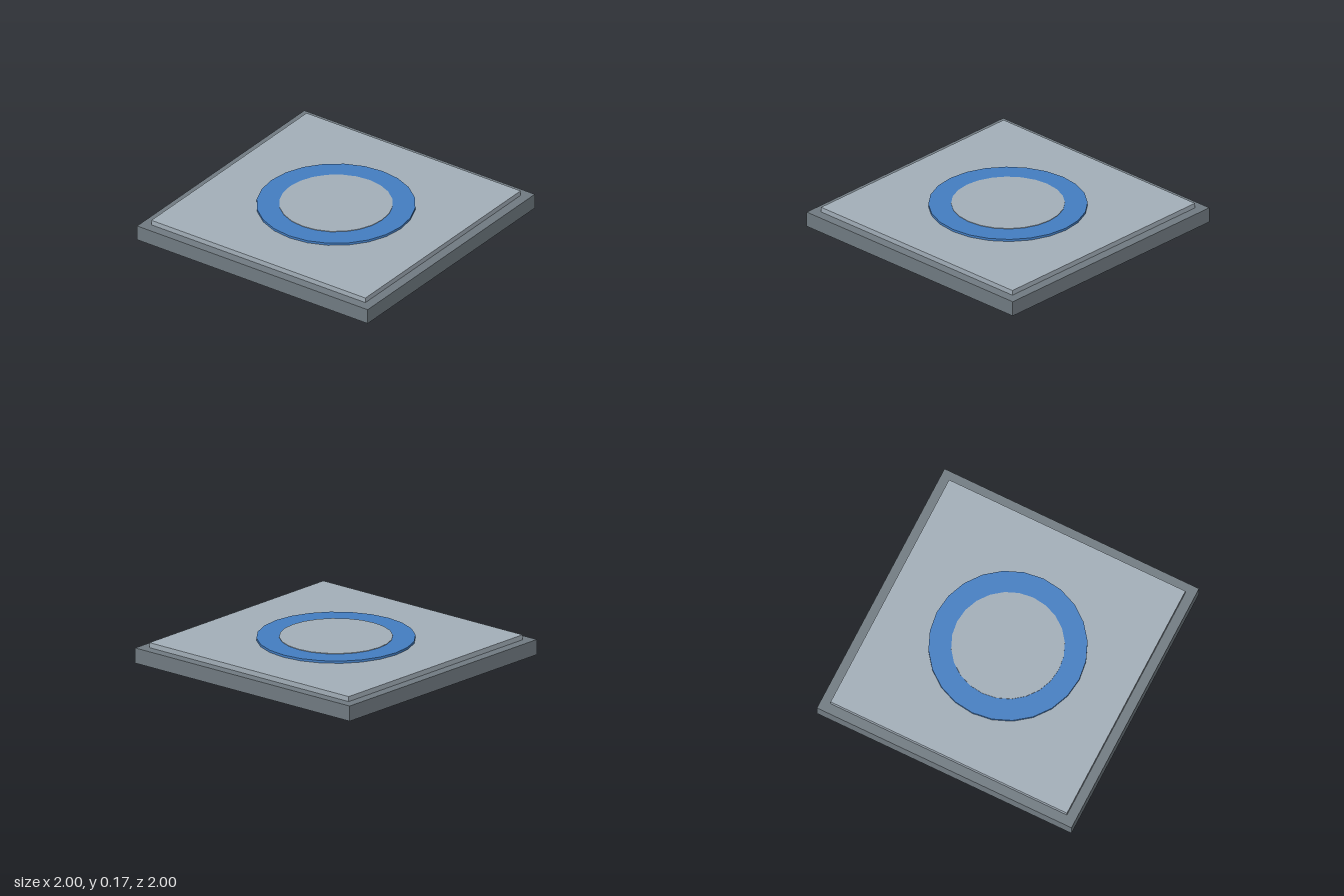
import * as THREE from 'three';

export function createModel() {
  const group = new THREE.Group();
  const darkGrey = new THREE.MeshStandardMaterial({ color: 0x717b82 });
  darkGrey.name = 'darkGrey';
  const lightGrey = new THREE.MeshStandardMaterial({ color: 0xa3afb9 });
  lightGrey.name = 'lightGrey';
  const blue = new THREE.MeshStandardMaterial({ color: 0x447ec2 });
  blue.name = 'blue';

  // Each layer sits on the one below it
  const addLayer = (name, geometry, material, bottom, top) => {
    const mesh = new THREE.Mesh(geometry, material);
    mesh.name = name;
    mesh.position.y = (bottom + top) / 2;
    group.add(mesh);
  };
  const slab = (size, height) => new THREE.BoxGeometry(size, height, size);
  const disc = (radius, height) => new THREE.CylinderGeometry(radius, radius, height, 24);

  // Square base and raised panel
  addLayer('base', slab(2, 0.112), darkGrey, 0, 0.112);
  addLayer('panel', slab(1.857, 0.037), lightGrey, 0.112, 0.149);

  // Round blue pad with a thin grey disc on top, leaving a blue ring
  addLayer('ringPad', disc(0.56, 0.017), blue, 0.149, 0.166);
  addLayer('centreDisc', disc(0.4, 0.004), lightGrey, 0.166, 0.17);

  return group;
}
